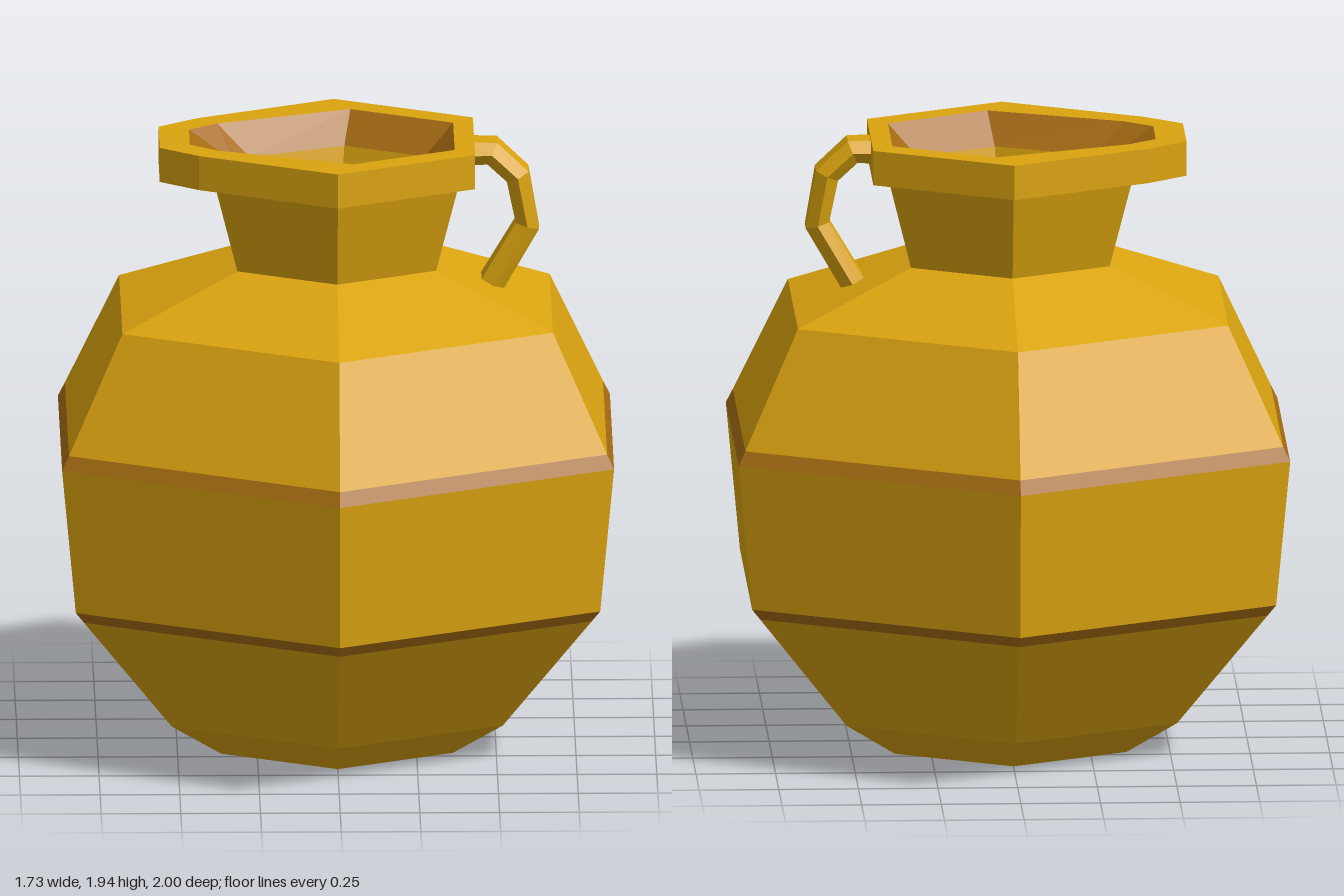
import * as THREE from 'three';

// Horizontal hexagon ring with corners on the z axis
function hex(r, y) {
  return Array.from({ length: 6 }, (_, i) => {
    const a = (i * Math.PI) / 3;
    return [r * Math.sin(a), y, r * Math.cos(a)];
  });
}

// Horizontal eight-point ring: a hexagon whose -x side is drawn out to a pouring lip
function lipRing(y, [cx, cz], [x, z], xLeft, [lipX, lipZ]) {
  return [
    [cx, y, cz], [x, y, z], [x, y, -z], [cx, y, -cz],
    [-xLeft, y, -z], [-lipX, y, -lipZ], [-lipX, y, lipZ], [-xLeft, y, z],
  ];
}

// Skin successive rings, optionally closing the first and last
function loft(rings, capStart = false, capEnd = false) {
  const pos = [];
  const tri = (a, b, c) => pos.push(...a, ...b, ...c);
  for (let k = 0; k < rings.length - 1; k++) {
    const a = rings[k], b = rings[k + 1], n = a.length;
    for (let i = 0; i < n; i++) {
      const j = (i + 1) % n;
      tri(a[i], a[j], b[j]);
      tri(a[i], b[j], b[i]);
    }
  }
  const first = rings[0], last = rings[rings.length - 1];
  for (let i = 1; i < first.length - 1; i++) {
    if (capStart) tri(first[0], first[i + 1], first[i]);
    if (capEnd) tri(last[0], last[i], last[i + 1]);
  }
  const geo = new THREE.BufferGeometry();
  geo.setAttribute('position', new THREE.Float32BufferAttribute(pos, 3));
  geo.computeVertexNormals();
  return geo;
}

export function createModel() {
  const group = new THREE.Group();
  const clay = new THREE.MeshStandardMaterial({ color: 0xdaa30f, flatShading: true });
  clay.name = 'golden clay';
  const brown = new THREE.MeshStandardMaterial({ color: 0xa76c12, flatShading: true });
  brown.name = 'brown glaze';

  const add = (name, geo, mat) => {
    const mesh = new THREE.Mesh(geo, mat);
    mesh.name = name;
    group.add(mesh);
  };

  // Body, split at the two painted bands
  add('lowerBody', loft([hex(0.42, 0), hex(0.6, 0.11), hex(0.92, 0.485)], true), clay);
  add('lowerBand', loft([hex(0.92, 0.485), hex(0.95, 0.52)]), brown);
  add('middleBody', loft([hex(0.95, 0.52), hex(1, 0.985)]), clay);
  add('upperBand', loft([hex(1, 0.985), hex(0.975, 1.03)]), brown);
  add('shoulder', loft([hex(0.975, 1.03), hex(0.78, 1.4), hex(0.36, 1.55)]), clay);
  add('neck', loft([hex(0.36, 1.55), hex(0.44, 1.83)]), clay);

  // Rim: underside, outer wall and top face
  const neckTop = lipRing(1.83, [0, 0.44], [0.381, 0.22], 0.381, [0.381, 0.12]);
  const rimAt = (y) => lipRing(y, [0, 0.5], [0.433, 0.25], 0.433, [0.555, 0.14]);
  const mouth = lipRing(1.94, [0.05, 0.365], [0.37, 0.18], 0.37, [0.46, 0.1]);
  add('rim', loft([neckTop, rimAt(1.83), rimAt(1.94), mouth]), clay);

  // Inside of the mouth and neck
  const throat = lipRing(1.84, [0.03, 0.29], [0.28, 0.145], 0.27, [0.32, 0.09]);
  const well = lipRing(1.55, [0.01, 0.215], [0.2, 0.115], 0.19, [0.22, 0.08]);
  add('innerRim', loft([mouth, throat]), brown);
  add('innerNeck', loft([throat, well], false, true), clay);

  // Handle: flattened six-sided section swept from shoulder to rim
  const path = [[0.47, 1.44], [0.6, 1.66], [0.57, 1.82], [0.49, 1.895], [0.4, 1.895]];
  const halfWidths = [0.082, 0.068, 0.08, 0.08, 0.08];
  const rings = path.map(([x, y], i) => {
    const a = path[Math.max(i - 1, 0)], b = path[Math.min(i + 1, path.length - 1)];
    const len = Math.hypot(b[0] - a[0], b[1] - a[1]);
    const nx = (b[1] - a[1]) / len, ny = -(b[0] - a[0]) / len;
    const w = halfWidths[i], t = 0.038;
    return [[0, w], [t, w * 0.6], [t, -w * 0.6], [0, -w], [-t, -w * 0.6], [-t, w * 0.6]]
      .map(([d, z]) => [x + nx * d, y + ny * d, z]);
  });
  add('handle', loft(rings, true, true), clay);

  return group;
}
